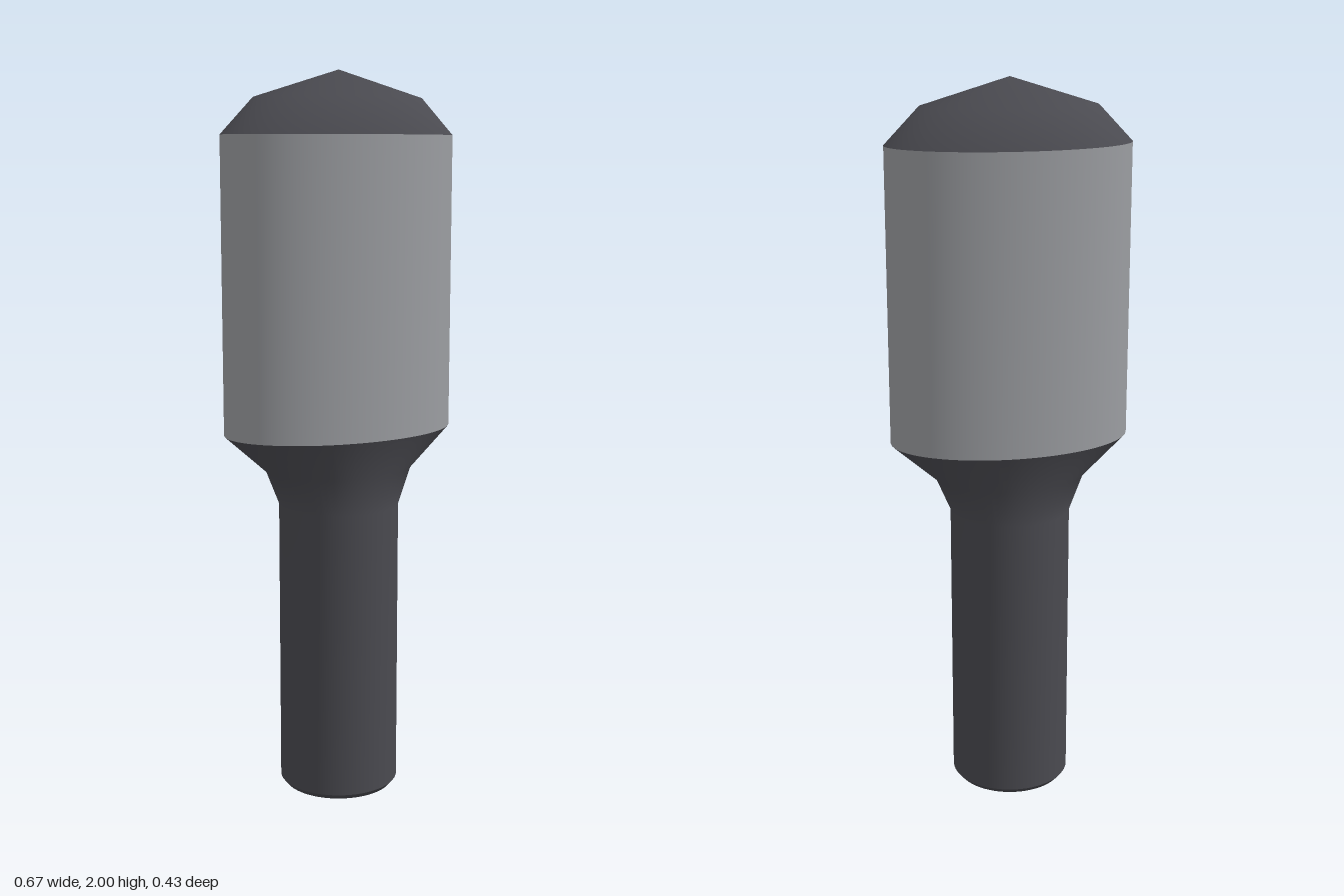
import * as THREE from 'three';

const SEGMENTS = 64;

// Smooth skin through elliptical rings [y, radiusX, radiusZ], listed bottom to top.
function loft(rings) {
  const positions = [], indices = [];
  for (const [y, rx, rz] of rings) {
    for (let j = 0; j < SEGMENTS; j++) {
      const a = (j / SEGMENTS) * Math.PI * 2;
      positions.push(rx * Math.cos(a), y, rz * Math.sin(a));
    }
  }
  // A ring of zero radius shares one vertex, so poles shade smoothly.
  const at = (i, j) => i * SEGMENTS + (rings[i][1] === 0 ? 0 : j % SEGMENTS);
  for (let i = 0; i < rings.length - 1; i++) {
    for (let j = 0; j < SEGMENTS; j++) {
      const a = at(i, j), b = at(i, j + 1), c = at(i + 1, j), d = at(i + 1, j + 1);
      if (a !== b) indices.push(a, c, b);
      if (c !== d) indices.push(c, d, b);
    }
  }
  const geometry = new THREE.BufferGeometry();
  geometry.setAttribute('position', new THREE.Float32BufferAttribute(positions, 3));
  geometry.setIndex(indices);
  geometry.computeVertexNormals();
  return geometry;
}

export function createModel() {
  const darkPlastic = new THREE.MeshStandardMaterial({ color: 0x4a4a50 });
  darkPlastic.name = 'dark plastic';
  const greyMetal = new THREE.MeshStandardMaterial({ color: 0x9b9da1 });
  greyMetal.name = 'grey metal';

  const group = new THREE.Group();
  const add = (name, material, rings) => {
    const mesh = new THREE.Mesh(loft(rings), material);
    mesh.name = name;
    group.add(mesh);
  };

  // Flat underside with a small chamfer
  add('handleBase', darkPlastic, [[0, 0, 0], [0, 0.155, 0.155], [0.015, 0.167, 0.167]]);
  // Round grip flaring into the oval head
  add('handle', darkPlastic, [
    [0.015, 0.167, 0.167], [0.82, 0.167, 0.167], [0.92, 0.21, 0.173], [1.03, 0.335, 0.216],
  ]);
  // Oval sleeve
  add('headSleeve', greyMetal, [[1.03, 0.335, 0.216], [1.83, 0.335, 0.216]]);
  // Domed oval cap
  add('headCap', darkPlastic, [[1.83, 0.335, 0.216], [1.927, 0.24, 0.168], [2, 0, 0]]);
  return group;
}
